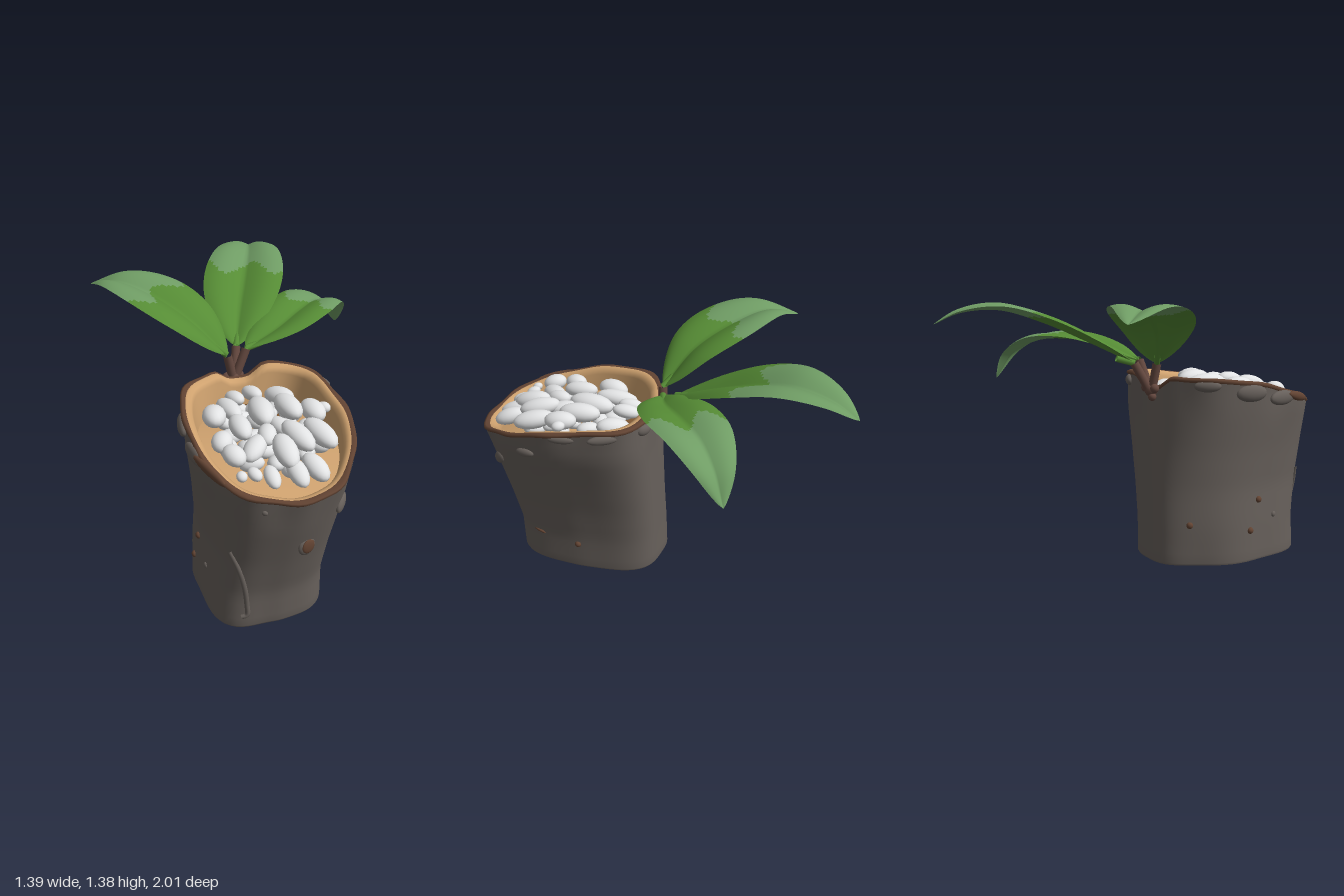
import * as THREE from 'three';

const mat = (name, color, side = THREE.FrontSide) => {
  const m = new THREE.MeshStandardMaterial({ color, side });
  m.name = name;
  return m;
};
const M = {
  bark: mat('greyBark', 0x67605b),
  edge: mat('brownBarkEdge', 0x634433),
  wood: mat('tanWood', 0xcfa26f),
  base: mat('cutBase', 0xcb9b6a),
  hollow: mat('darkHollow', 0x7d5632),
  stone: mat('paleStone', 0xe2e3e4),
  stem: mat('brownStem', 0x64483f),
  leaf: mat('leafGreen', 0x568c35, THREE.DoubleSide),
  tip: mat('leafTipGreen', 0x6f9c64, THREE.DoubleSide),
};
const V = (x, y, z) => new THREE.Vector3(x, y, z);
const { lerp } = THREE.MathUtils;
const SEG = 80;

// Outline of the trunk: extents sampled every 0.2 in height
const RIGHT = [0.18, 0.185, 0.215, 0.26, 0.31, 0.325];
const LEFT = [-0.43, -0.425, -0.415, -0.43, -0.455, -0.468];
const FRONT = [0.84, 0.85, 0.9, 0.955, 1.0, 1.02];
const BACK = [0, 0.005, 0.01, 0.015, 0.02, 0.025];
// Swelling of the four corners (front-left, back-left, back-right, front-right) at bottom and top
const CORNER_LOW = [0.12, 0.13, -0.08, 0.2];
const CORNER_TOP = [-0.02, 0.17, 0.06, 0.03];
function sample(list, y) {
  const k = Math.min(Math.max(y / 0.2, 0), 4.999), i = Math.floor(k);
  return lerp(list[i], list[i + 1], k - i);
}
// Ellipse of the trunk at height y
function section(y) {
  const r = sample(RIGHT, y), l = sample(LEFT, y), f = sample(FRONT, y), b = sample(BACK, y);
  return { cx: (r + l) / 2, rx: (r - l) / 2, cz: (f + b) / 2, rz: (f - b) / 2 };
}
// Point at angle a (0 = front, growing towards +x), radius scale s, height y
function trunkPoint(a, s, y) {
  const e = section(y), q = Math.floor(a / (Math.PI / 2) + 4) % 4;
  const k = s * (1 + lerp(CORNER_LOW[q], CORNER_TOP[q], Math.min(y, 1)) * Math.abs(Math.sin(2 * a)) ** 3);
  return V(e.cx + e.rx * k * Math.sin(a), y, e.cz + e.rz * k * Math.cos(a));
}
// Sloping cut, with a notch at the back where the stems leave
const cutY = (z) => 1 - 0.01 * z - 0.2 * z * z;
function rimY(a) {
  const d = Math.atan2(Math.sin(a - Math.PI), Math.cos(a - Math.PI));
  return cutY(0.51 + 0.49 * Math.cos(a)) - 0.06 * Math.exp(-((d / 0.26) ** 4))
    + 0.005 * Math.sin(7 * a + 1) * Math.sin(3 * a);
}
const wobble = (a) => 0.012 * Math.sin(5 * a) + 0.01 * Math.sin(11 * a + 2);
// Level of the stone bed
const bedY = (z) => 0.912 - 0.4 * (z - 0.42) ** 2;

// Skin of closed loops; each row is a function of the angle
function skin(rows) {
  const pos = [], idx = [];
  rows.forEach((row) => {
    for (let i = 0; i < SEG; i++) pos.push(...row((i / SEG) * Math.PI * 2).toArray());
  });
  for (let j = 0; j < rows.length - 1; j++) {
    for (let i = 0; i < SEG; i++) {
      const n = (i + 1) % SEG, a = j * SEG + i, b = j * SEG + n;
      idx.push(a, b, b + SEG, a, b + SEG, a + SEG);
    }
  }
  const g = new THREE.BufferGeometry();
  g.setAttribute('position', new THREE.Float32BufferAttribute(pos, 3));
  g.setIndex(idx);
  g.computeVertexNormals();
  return g;
}
function add(parent, name, geo, material) {
  const m = new THREE.Mesh(geo, material);
  m.name = name;
  parent.add(m);
  return m;
}

function makeTrunk() {
  const g = new THREE.Group();
  g.name = 'trunk';
  const walls = [(a) => trunkPoint(a, 0.985, 0), (a) => trunkPoint(a, 1, 0.012)];
  for (let j = 1; j <= 18; j++) {
    const v = j / 18;
    walls.push((a) => trunkPoint(a, 1 + wobble(a) * Math.max(0, v - 0.8) * 5, 0.012 + v * (rimY(a) - 0.034)));
  }
  add(g, 'barkWall', skin(walls), M.bark);
  add(g, 'baseCut', skin([(a) => trunkPoint(a, 0, 0), (a) => trunkPoint(a, 0.985, 0)]), M.base);
  // [radius scale, depth below the cut]
  const ring = (list) => list.map(([s, d]) => (a) => trunkPoint(a, s + wobble(a) * (s > 0.97 ? 1 : 0.2), rimY(a) - d));
  add(g, 'barkRim', skin(ring([[1, 0.022], [1.016, 0.014], [1.01, 0.003], [0.985, -0.002], [0.95, 0.002]])), M.edge);
  // Floor loop; the wood wall runs down to its outer edge
  const floor = (s) => (a) => {
    const p = trunkPoint(a, s, 0.85);
    p.y = bedY(p.z) - 0.085;
    return p;
  };
  add(g, 'woodRing', skin([...ring([[0.95, 0.002], [0.925, 0.002], [0.885, 0.012], [0.865, 0.035]]), floor(0.83)]), M.wood);
  add(g, 'hollowFloor', skin([0.83, 0.6, 0.3, 0].map(floor)), M.wood);
  // Dark patch at the back of the hollow
  const patch = add(g, 'hollowShade', new THREE.SphereGeometry(1, 24, 8), M.hollow);
  patch.position.set(-0.06, 0.805, 0.24);
  patch.scale.set(0.25, 0.025, 0.14);
  return g;
}

// Flattened lump sitting on the bark
function lump(parent, name, a, y, w, h, d, material, turn = 0, out = 0) {
  const e = section(y);
  const m = add(parent, name, new THREE.SphereGeometry(1, 16, 10), material);
  const nx = Math.sin(a) / e.rx, nz = Math.cos(a) / e.rz, n = Math.hypot(nx, nz);
  m.position.copy(trunkPoint(a, 1, y)).add(V(nx / n, 0, nz / n).multiplyScalar(out));
  m.rotation.set(0, Math.atan2(nx, nz), 0);
  m.rotateZ(turn);
  m.scale.set(w, h, d);
}

function makeBarkDetails() {
  const g = new THREE.Group();
  g.name = 'barkDetails';
  lump(g, 'frontKnot', 0.2, 0.49, 0.046, 0.05, 0.018, M.bark);
  lump(g, 'frontKnotCore', 0.2, 0.495, 0.034, 0.037, 0.009, M.edge, 0, 0.013);
  lump(g, 'sideKnot', 0.72, 0.65, 0.055, 0.034, 0.02, M.bark, 0.6);
  lump(g, 'sideKnot', 1.3, 0.8, 0.055, 0.024, 0.018, M.bark, 0.1);
  lump(g, 'smallKnot', -0.45, 0.74, 0.014, 0.012, 0.008, M.bark);
  lump(g, 'smallKnot', -1.2, 0.23, 0.016, 0.016, 0.01, M.bark);
  // Bulges under the rim: angle, drop, width, height, depth
  [[-1.4, 0.05, 0.1, 0.04, 0.025], [-1.85, 0.06, 0.09, 0.045, 0.03], [-2.35, 0.04, 0.07, 0.03, 0.022],
    [1.75, 0.035, 0.07, 0.022, 0.018], [2.15, 0.04, 0.08, 0.025, 0.02], [2.6, 0.05, 0.04, 0.03, 0.022]]
    .forEach(([a, d, w, h, k]) => lump(g, 'rimBulge', a, rimY(a) - d, w, h, k, M.bark));
  // Brown bark flaking down the right side of the rim
  lump(g, 'rimFlake', -1.1, rimY(-1.1) - 0.02, 0.12, 0.025, 0.018, M.edge, -0.2);
  // Small brown buds
  [[-1.5, 0.33], [-1.6, 0.17], [1.57, 0.16], [-2.5, 0.22]]
    .forEach(([a, y]) => lump(g, 'bud', a, y, 0.018, 0.018, 0.016, M.edge));
  lump(g, 'barkScar', 1.02, 0.19, 0.045, 0.008, 0.008, M.edge);
  // Curved ridge on the front
  const pts = [[-0.36, 0.46], [-0.33, 0.38], [-0.3, 0.27], [-0.285, 0.15], [-0.285, 0.08], [-0.31, 0.07]].map(([x, y]) => {
    let a = -0.2;
    while (trunkPoint(a, 1, y).x > x && a > -1.5) a -= 0.01;
    return trunkPoint(a, 0.995, y);
  });
  add(g, 'barkRidge', new THREE.TubeGeometry(new THREE.CatmullRomCurve3(pts), 30, 0.013, 8), M.bark);
  return g;
}

function makeStones() {
  const g = new THREE.Group();
  g.name = 'stones';
  const geo = new THREE.SphereGeometry(1, 16, 12);
  const put = (x, z, len, wid, turn, lift) => {
    const m = add(g, 'stone', geo, M.stone);
    m.position.set(x, bedY(z) + lift, z);
    m.rotation.set(0.8 * (z - 0.42), turn, 0, 'YXZ');
    m.scale.set(wid, wid * 0.85, len);
  };
  // x, z, half length, half width, turn
  [[-0.2, 0.3, 0.115, 0.05, 0.1], [-0.07, 0.4, 0.125, 0.062, -0.1], [0.06, 0.42, 0.11, 0.058, 0.1],
    [0.085, 0.23, 0.09, 0.055, 0.5], [-0.14, 0.2, 0.07, 0.042, 0.2], [-0.05, 0.2, 0.075, 0.042, 0.2],
    [-0.29, 0.35, 0.085, 0.058, -0.2], [-0.21, 0.51, 0.095, 0.05, 0], [0.16, 0.49, 0.085, 0.055, 0.1],
    [-0.32, 0.58, 0.065, 0.05, -0.4], [0.135, 0.65, 0.11, 0.056, 0.3], [0.02, 0.66, 0.11, 0.055, 0.3],
    [-0.19, 0.66, 0.09, 0.05, -0.7], [-0.3, 0.7, 0.065, 0.05, 0.3], [-0.07, 0.74, 0.105, 0.055, 0],
    [0.04, 0.83, 0.085, 0.05, 0.3], [-0.17, 0.84, 0.065, 0.036, 0], [-0.05, 0.84, 0.085, 0.045, 0.1],
    [-0.24, 0.81, 0.04, 0.03, 0.4], [-0.3, 0.81, 0.028, 0.025, 0], [0.22, 0.48, 0.035, 0.03, 0.5],
    [-0.02, 0.54, 0.08, 0.045, 0.3], [-0.11, 0.6, 0.07, 0.045, -0.3]]
    .forEach(([x, z, l, w, t], i) => put(x, z, l, w, t, z > 0.78 ? 0 : (i % 3) * 0.014));
  // Lower layer of fillers
  for (let i = 0; i < 26; i++) {
    const a = i * 2.4, s = 0.6 * Math.sqrt((i + 0.5) / 26);
    const p = trunkPoint(a % (Math.PI * 2), s, 0.85);
    put(p.x, p.z, 0.06, 0.042, a * 1.7, -0.045);
  }
  return g;
}

// Leaf blade along a midrib curve, slightly folded, with a paler outer part
function makeLeaf(points, half, name) {
  const curve = new THREE.CatmullRomCurve3(points.map((p) => V(...p)));
  const NU = 24, NT = 64, pos = [], green = [], pale = [];
  const along = points[points.length - 1].map((c, i) => c - points[0][i]);
  const side = V(-along[2], 0, along[0]).normalize();
  for (let j = 0; j <= NT; j++) {
    const t = j / NT, c = curve.getPointAt(t);
    const up = V().crossVectors(side, curve.getTangentAt(t)).normalize();
    if (up.y < 0) up.negate();
    const w = half * Math.max(0, Math.sin(Math.PI * t ** 0.9)) ** 0.8;
    for (let i = 0; i <= NU; i++) {
      const u = (i / NU) * 2 - 1;
      const h = w * (0.2 * Math.sin(Math.abs(u) * 2.4) - 0.08);
      pos.push(...c.clone().addScaledVector(side, u * w).addScaledVector(up, h).toArray());
      if (i === NU || j === NT) continue;
      const a = j * (NU + 1) + i, b = a + NU + 1;
      const list = t > 0.51 + 0.06 * Math.sin(u * 5 + 1) ? pale : green;
      list.push(a, a + 1, b + 1, a, b + 1, b);
    }
  }
  const geo = new THREE.BufferGeometry();
  geo.setAttribute('position', new THREE.Float32BufferAttribute(pos, 3));
  geo.setIndex([...green, ...pale]);
  geo.addGroup(0, green.length, 0);
  geo.addGroup(green.length, pale.length, 1);
  geo.computeVertexNormals();
  const g = new THREE.Group();
  g.name = name;
  add(g, 'blade', geo, [M.leaf, M.tip]);
  // Woody stem, then a short green stalk under the blade
  const b = V(...points[0]), root = V(-0.085, 0.9, 0.01);
  add(g, 'stem', new THREE.TubeGeometry(new THREE.LineCurve3(root, b), 4, 0.023, 12), M.stem);
  const stalk = [0, 0.05, 0.1].map((t) => curve.getPointAt(t).add(V(0, -0.25 * t, 0)));
  add(g, 'stalk', new THREE.TubeGeometry(new THREE.CatmullRomCurve3(stalk), 8, 0.017, 10), M.leaf);
  return g;
}

function makePlant() {
  const g = new THREE.Group();
  g.name = 'plant';
  g.add(makeLeaf([[-0.12, 1.06, 0.02], [-0.27, 1.23, -0.1], [-0.43, 1.33, -0.27], [-0.58, 1.36, -0.43], [-0.69, 1.3, -0.58]], 0.205, 'rightLeaf'));
  g.add(makeLeaf([[-0.045, 1.06, -0.07], [0.04, 1.18, -0.28], [0.14, 1.29, -0.5], [0.225, 1.35, -0.7], [0.29, 1.33, -0.88], [0.33, 1.27, -1]], 0.215, 'backLeaf'));
  g.add(makeLeaf([[-0.01, 1.07, -0.01], [0.17, 1.135, -0.07], [0.35, 1.18, -0.19], [0.5, 1.17, -0.32], [0.62, 1.085, -0.42], [0.69, 0.945, -0.48]], 0.18, 'leftLeaf'));
  // Knobbly root collar at the back of the rim
  [[-0.085, 0.92, 0.01, 0.036], [-0.12, 0.93, 0.005, 0.024], [-0.05, 0.93, 0, 0.024], [-0.1, 0.885, 0.005, 0.022]]
    .forEach(([x, y, z, r]) => add(g, 'collarKnob', new THREE.SphereGeometry(r, 12, 8), M.stem).position.set(x, y, z));
  return g;
}

export function createModel() {
  const model = new THREE.Group();
  model.name = 'pottedLog';
  model.add(makeTrunk(), makeBarkDetails(), makeStones(), makePlant());
  return model;
}
